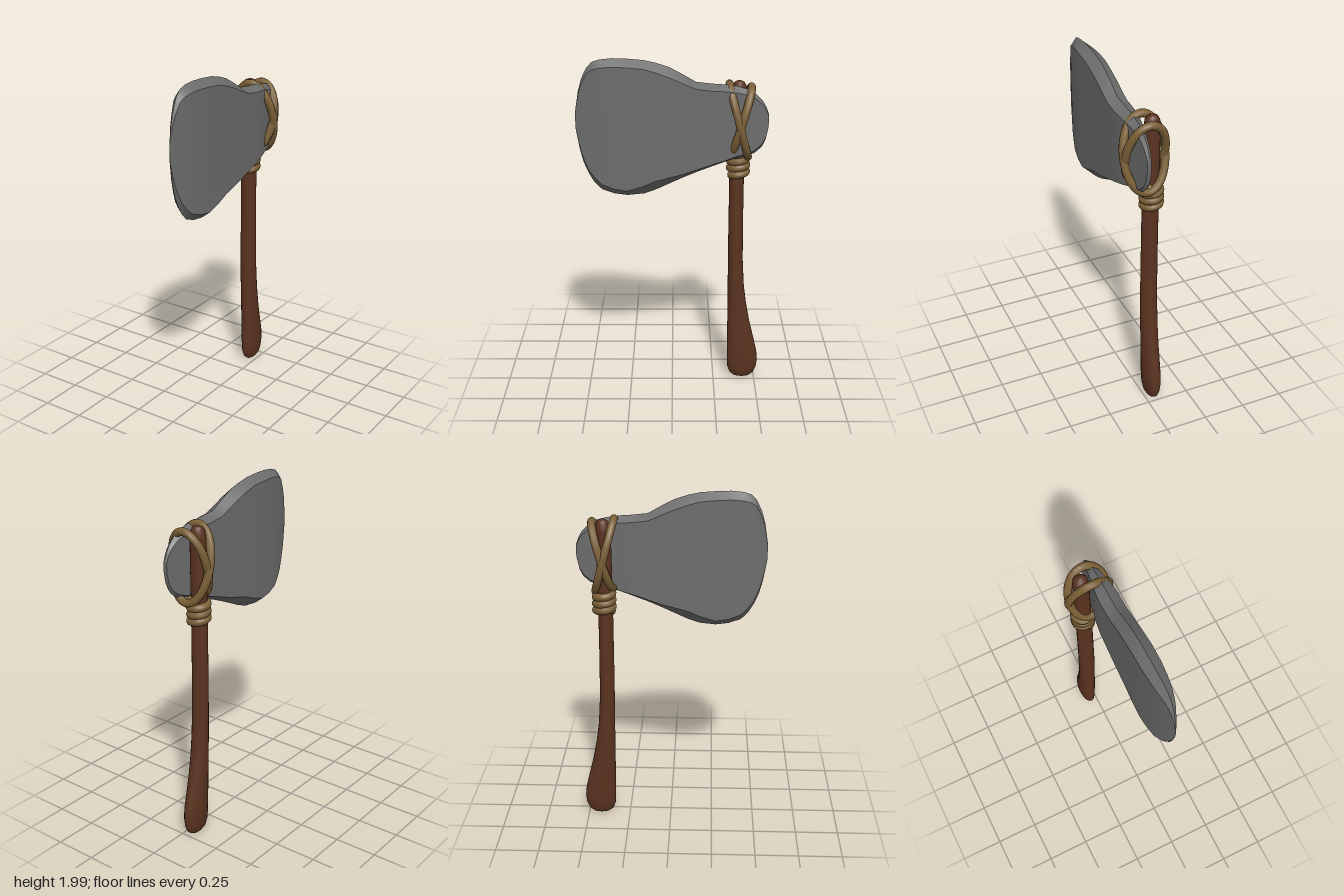
import * as THREE from 'three';
import { toCreasedNormals } from 'three/addons/utils/BufferGeometryUtils.js';

// Skin a closed surface over rings of points (counterclockwise seen from the end of travel)
function loft(rings) {
  const n = rings[0].length, pos = [], index = [];
  rings.forEach(r => r.forEach(p => pos.push(...p)));
  for (let i = 0; i < rings.length - 1; i++) {
    for (let j = 0; j < n; j++) {
      const a = i * n + j, b = i * n + (j + 1) % n;
      index.push(a, b, b + n, a, b + n, a + n);
    }
  }
  const last = (rings.length - 1) * n;
  for (let j = 1; j < n - 1; j++) {
    index.push(0, j + 1, j, last, last + j, last + j + 1);
  }
  const g = new THREE.BufferGeometry();
  g.setAttribute('position', new THREE.Float32BufferAttribute(pos, 3));
  g.setIndex(index);
  g.computeVertexNormals();
  return g;
}

// Closed or open rope following a function of 0..1
function rope(name, fn, count, radius, closed, material) {
  const pts = [];
  for (let i = 0; i < count; i++) pts.push(fn(i / (closed ? count : count - 1)));
  const curve = new THREE.CatmullRomCurve3(pts, closed);
  const mesh = new THREE.Mesh(new THREE.TubeGeometry(curve, count * 3, radius, 10, closed), material);
  mesh.name = name;
  return mesh;
}

export function createModel() {
  const group = new THREE.Group();
  group.name = 'stoneAxe';
  const stone = new THREE.MeshStandardMaterial({ color: 0x6c6c6c });
  const wood = new THREE.MeshStandardMaterial({ color: 0x5a3320 });
  const cord = new THREE.MeshStandardMaterial({ color: 0x7a5f36 });

  // Stone head: hexagonal sections [z, top, bottom, half thickness, top bevel, bottom bevel]
  const sections = [
    [-0.535, 1.69, 1.61, 0.011, 0.01, 0.01],
    [-0.52, 1.73, 1.54, 0.013, 0.015, 0.015],
    [-0.50, 1.765, 1.50, 0.016, 0.02, 0.02],
    [-0.46, 1.805, 1.465, 0.021, 0.025, 0.02],
    [-0.42, 1.83, 1.45, 0.028, 0.03, 0.02],
    [-0.36, 1.845, 1.435, 0.037, 0.03, 0.02],
    [-0.30, 1.855, 1.415, 0.048, 0.03, 0.02],
    [-0.22, 1.86, 1.385, 0.055, 0.03, 0.025],
    [-0.13, 1.87, 1.35, 0.055, 0.03, 0.03],
    [-0.06, 1.91, 1.32, 0.055, 0.04, 0.035],
    [0.015, 1.95, 1.285, 0.055, 0.047, 0.05],
    [0.09, 1.975, 1.25, 0.055, 0.045, 0.065],
    [0.16, 1.99, 1.225, 0.055, 0.04, 0.06],
    [0.255, 1.998, 1.215, 0.053, 0.04, 0.04],
    [0.33, 2.0, 1.225, 0.047, 0.04, 0.04],
    [0.40, 1.993, 1.25, 0.038, 0.04, 0.04],
    [0.44, 1.98, 1.29, 0.029, 0.04, 0.04],
    [0.47, 1.95, 1.34, 0.022, 0.03, 0.03],
    [0.50, 1.89, 1.41, 0.013, 0.03, 0.03],
    [0.52, 1.82, 1.49, 0.008, 0.02, 0.02],
    [0.54, 1.70, 1.61, 0.001, 0.01, 0.01],
  ];
  const cx = 0.044;
  const headRings = sections.map(([z, top, bot, t, bt, bb]) => [
    [cx, top, z], [cx - t, top - bt, z], [cx - t, bot + bb, z],
    [cx, bot, z], [cx + t, bot + bb, z], [cx + t, top - bt, z],
  ]);
  const head = new THREE.Mesh(toCreasedNormals(loft(headRings), 0.5), stone);
  head.name = 'axeHead';
  group.add(head);

  // Handle: elliptical sections [y, front z, back z, half width in x]
  const handleSections = [
    [0.008, -0.40, -0.45, 0.012], [0.015, -0.375, -0.475, 0.024],
    [0.035, -0.352, -0.498, 0.036], [0.07, -0.339, -0.514, 0.043],
    [0.12, -0.335, -0.52, 0.048], [0.18, -0.334, -0.514, 0.05],
    [0.27, -0.333, -0.493, 0.05], [0.38, -0.333, -0.466, 0.05],
    [0.50, -0.332, -0.443, 0.05], [0.62, -0.331, -0.427, 0.05],
    [0.78, -0.329, -0.417, 0.049], [1.0, -0.328, -0.413, 0.048],
    [1.4, -0.327, -0.411, 0.047], [1.79, -0.33, -0.415, 0.045],
    [1.83, -0.335, -0.412, 0.041], [1.85, -0.347, -0.402, 0.03],
    [1.858, -0.364, -0.386, 0.012],
  ];
  const handleRings = handleSections.map(([y, zf, zb, rx]) =>
    Array.from({ length: 20 }, (_, k) => {
      const a = k / 20 * Math.PI * 2;
      return [-0.045 + rx * Math.cos(a), y, (zf + zb) / 2 - (zf - zb) / 2 * Math.sin(a)];
    }));
  const handle = new THREE.Mesh(loft(handleRings), wood);
  handle.name = 'handle';
  group.add(handle);

  // Two tilted loops crossing around head and handle
  for (const side of [1, -1]) {
    group.add(rope(side > 0 ? 'bindingLoopFront' : 'bindingLoopBack', t => {
      const a = t * Math.PI * 2;
      return new THREE.Vector3(
        -0.003 + (0.116 + side * 0.003) * Math.cos(a),
        1.64 + (side > 0 ? 0.208 : 0.192) * Math.sin(a),
        -0.378 + side * (0.056 * Math.sin(a) + 0.006));
    }, 24, 0.023, true, cord));
  }

  // Coils wrapped around the handle below the head
  group.add(rope('bindingCoils', t => {
    const a = t * Math.PI * 6.6 - 1;
    return new THREE.Vector3(-0.047 + 0.046 * Math.cos(a), 1.315 + 0.13 * t, -0.376 - 0.047 * Math.sin(a));
  }, 40, 0.023, false, cord));

  // Rounded cord ends
  for (const [y, a] of [[1.315, -1], [1.445, Math.PI * 6.6 - 1]]) {
    const end = new THREE.Mesh(new THREE.SphereGeometry(0.023, 10, 8), cord);
    end.name = 'cordEnd';
    end.position.set(-0.047 + 0.046 * Math.cos(a), y, -0.376 - 0.047 * Math.sin(a));
    group.add(end);
  }
  return group;
}
